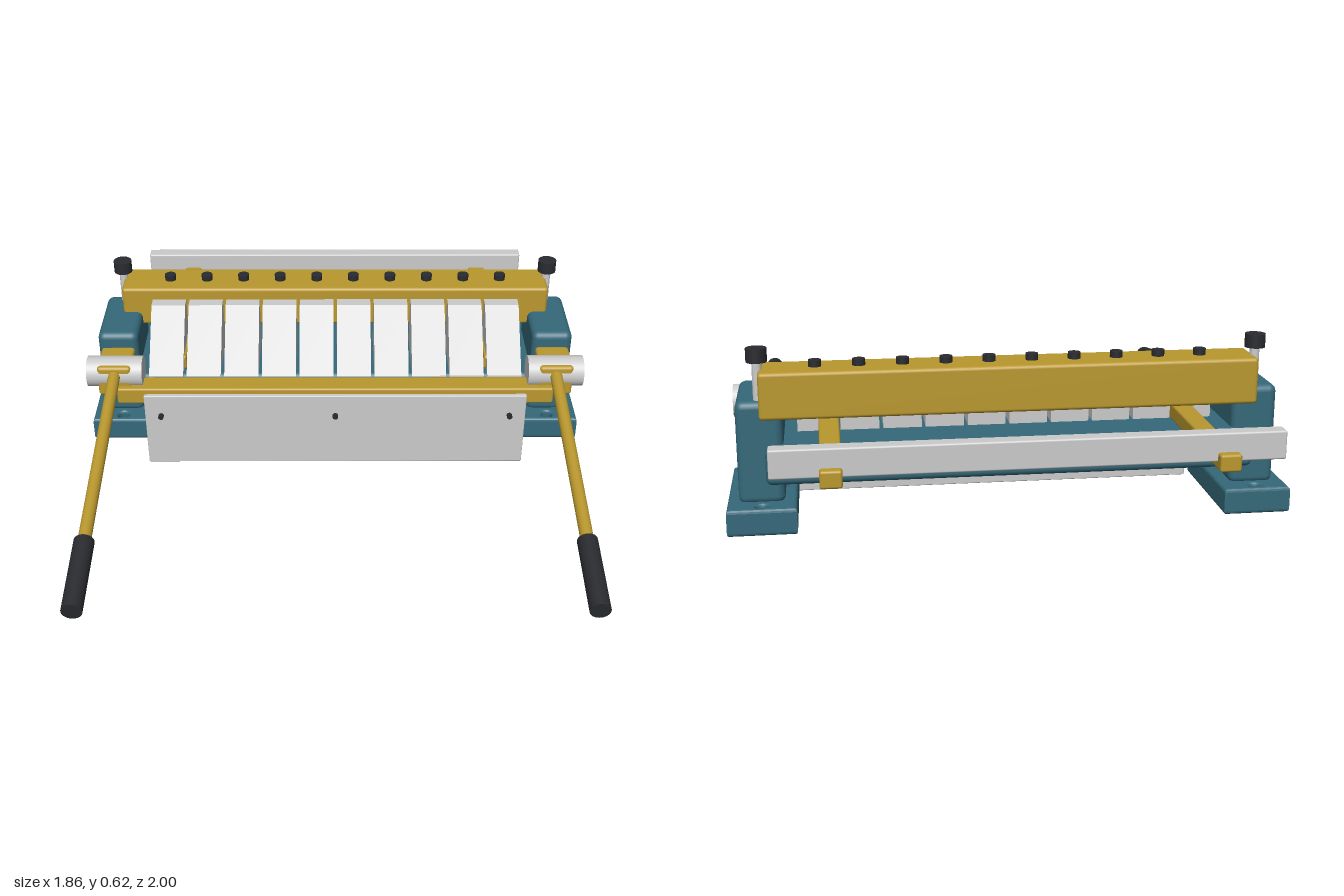
import * as THREE from 'three';
import { RoundedBoxGeometry } from 'three/addons/geometries/RoundedBoxGeometry.js';

const material = (color) => new THREE.MeshStandardMaterial({ color });

export function createModel() {
  const model = new THREE.Group();
  model.name = 'sheetMetalFolder';
  const teal = material(0x35697a);
  const yellow = material(0xba982e);
  const black = material(0x2a2b2f);
  const steel = material(0xcccccc);

  function add(name, geometry, mat) {
    const mesh = new THREE.Mesh(geometry, mat);
    mesh.name = name;
    model.add(mesh);
    return mesh;
  }

  // Softened box given by its extents on each axis
  function box(name, mat, [x0, x1], [y0, y1], [z0, z1], radius = 0.008) {
    const geometry = new RoundedBoxGeometry(x1 - x0, y1 - y0, z1 - z0, 3, radius);
    geometry.translate((x0 + x1) / 2, (y0 + y1) / 2, (z0 + z1) / 2);
    return add(name, geometry, mat);
  }

  // Cylinder between two points
  function rod(name, mat, radius, from, to) {
    const a = new THREE.Vector3(...from);
    const b = new THREE.Vector3(...to);
    const mesh = add(name, new THREE.CylinderGeometry(radius, radius, a.distanceTo(b), 28), mat);
    mesh.position.copy(a).add(b).multiplyScalar(0.5);
    mesh.quaternion.setFromUnitVectors(new THREE.Vector3(0, 1, 0), b.sub(a).normalize());
    return mesh;
  }

  // Foot plate with a bolt hole at each end
  function footGeometry() {
    const bevel = 0.012;
    const hx = 0.1125 - bevel;
    const hz = 0.2275 - bevel;
    const shape = new THREE.Shape();
    shape.moveTo(-hx, -hz).lineTo(hx, -hz).lineTo(hx, hz).lineTo(-hx, hz).closePath();
    for (const z of [-0.19, 0.19]) {
      const hole = new THREE.Path();
      hole.absarc(0, z, 0.026 + bevel / 2, 0, Math.PI * 2, true);
      shape.holes.push(hole);
    }
    const geometry = new THREE.ExtrudeGeometry(shape, {
      depth: 0.09 - 2 * bevel, bevelEnabled: true, bevelSize: bevel,
      bevelThickness: bevel, bevelSegments: 3, curveSegments: 16,
    });
    geometry.rotateX(-Math.PI / 2);
    return geometry.translate(0, 0.03 + bevel, 0);
  }

  // Bed between the two columns
  box('bed', teal, [-0.8, 0.8], [0.19, 0.31], [-0.59, -0.175], 0.02);

  // Clamping beam and folding bar
  box('clampBeam', yellow, [-0.815, 0.815], [0.4, 0.555], [-0.565, -0.4], 0.012);
  box('foldingBar', yellow, [-0.81, 0.81], [0.257, 0.322], [-0.145, -0.06]);

  // Front apron and its screws
  box('apron', steel, [-0.71, 0.71], [0, 0.3], [-0.095, -0.045], 0.004);
  for (const x of [-0.65, 0, 0.65]) {
    rod('apronScrew', black, 0.01, [x, 0.215, -0.05], [x, 0.215, -0.03]);
  }

  // Ten wedge fingers, each with a bolt on top of the beam
  const profile = new THREE.Shape();
  profile.moveTo(0.145, 0.32).lineTo(0.42, 0.32).lineTo(0.42, 0.51);
  profile.lineTo(0.355, 0.51).lineTo(0.145, 0.325).closePath();
  const finger = new THREE.ExtrudeGeometry(profile, { depth: 0.128, bevelEnabled: false });
  finger.translate(0, 0, -0.064).rotateY(Math.PI / 2);
  for (let i = 0; i < 10; i++) {
    const x = (i - 4.5) * 0.141;
    add('clampFinger', finger, steel).position.x = x;
    rod('beamBolt', black, 0.021, [x, 0.55, -0.48], [x, 0.576, -0.48]);
  }

  // Back gauge bar
  box('backGauge', steel, [-0.775, 0.775], [0.34, 0.43], [-0.97, -0.917], 0.006);

  const foot = footGeometry();
  for (const side of [-1, 1]) {
    const x = side * 0.8175;
    const span = (centre, width) => [centre - width / 2, centre + width / 2];

    // End stand
    add('foot', foot, teal).position.set(x, 0, -0.3825);
    box('column', teal, span(x, 0.15), [0.11, 0.455], [-0.535, -0.23], 0.025);

    // Pivot and the arm block that passes through it
    rod('pivot', steel, 0.057, [side * 0.715, 0.355, -0.135], [side * 0.92, 0.355, -0.135]);
    box('pivotBlock', yellow, span(x, 0.125), [0.28, 0.4], [-0.235, -0.082], 0.012);

    // Handle with grip
    rod('handle', yellow, 0.022, [x, 0.365, -0.1], [x, 0.234, 0.75]);
    rod('grip', black, 0.034, [x, 0.24, 0.71], [x, 0.196, 0.995]);

    // Clamp adjusting screw
    rod('adjustScrew', steel, 0.016, [x, 0.44, -0.5], [x, 0.585, -0.5]);
    rod('adjustKnob', black, 0.034, [x, 0.58, -0.5], [x, 0.625, -0.5]);

    // Back gauge rail
    box('gaugeRail', yellow, span(side * 0.595, 0.067), [0.315, 0.37], [-1, -0.21]);
  }

  return model;
}
